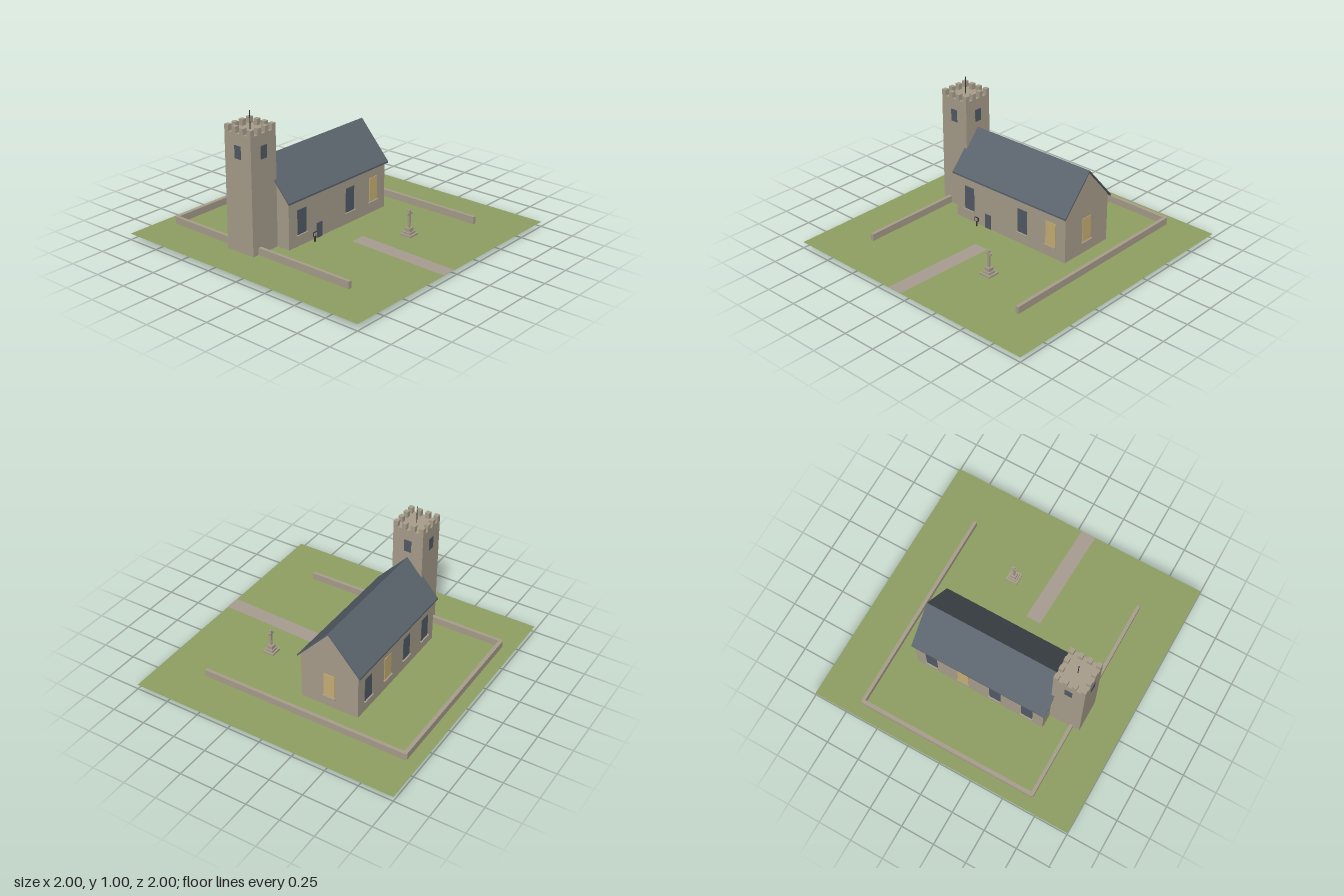
import * as THREE from 'three';

const mat = (name, color, side = THREE.FrontSide) => {
  const m = new THREE.MeshStandardMaterial({ color, side });
  m.name = name;
  return m;
};

export function createModel() {
  const stone = mat('stone', 0xa89e8c);
  const path = mat('path gravel', 0xa89d91, THREE.DoubleSide);
  const grass = mat('grass', 0x8fa063, THREE.DoubleSide);
  const slate = mat('roof slate', 0x5b646d);
  const glass = mat('dark glass', 0x525b66);
  const litGlass = mat('lit glass', 0xc9b074);
  const iron = mat('dark iron', 0x38352f);

  const model = new THREE.Group();
  model.name = 'churchAndChurchyard';
  const BASE = 0.04, CZ = -0.22, TX = -0.615;

  const group = (name, parent = model) => {
    const g = new THREE.Group();
    g.name = name;
    parent.add(g);
    return g;
  };
  const add = (name, geo, m, parent) => {
    const mesh = new THREE.Mesh(geo, m);
    mesh.name = name;
    parent.add(mesh);
    return mesh;
  };
  // Box given by centre x, bottom y, centre z
  const box = (name, w, h, d, x, y, z, m, parent) => {
    const b = add(name, new THREE.BoxGeometry(w, h, d), m, parent);
    b.position.set(x, y + h / 2, z);
    return b;
  };
  const outline = pts => new THREE.Shape(pts.map(p => new THREE.Vector2(...p)));
  // Cross-section in (-z, y), run along x
  const alongX = (pts, x0, x1) => new THREE.ExtrudeGeometry(outline(pts), { depth: x1 - x0, bevelEnabled: false })
    .rotateY(Math.PI / 2).translate(x0, 0, 0);
  // Gentle fall of the land towards +x
  const slope = (geo) => {
    const p = geo.attributes.position;
    for (let i = 0; i < p.count; i++) p.setY(i, p.getY(i) - 0.005 * p.getX(i));
    geo.computeVertexNormals();
    return geo;
  };

  // Ground and path
  add('ground', slope(new THREE.PlaneGeometry(2, 2, 4, 4).rotateX(-Math.PI / 2).translate(0, 0.041, 0)), grass, model);
  const pathShape = outline([[-0.115, -0.22], [-0.145, -1], [-0.033, -1], [-0.002, -0.22]]);
  add('path', slope(new THREE.ShapeGeometry(pathShape).rotateX(-Math.PI / 2).translate(0, 0.0435, 0)), path, model);

  // Churchyard wall: U-shaped with clipped back corners
  const wallPts = [
    [0.682, -0.665], [0.682, 0.895], [0.67, 0.908], [-0.67, 0.908], [-0.682, 0.895], [-0.682, -0.665],
    [-0.657, -0.665], [-0.657, 0.88], [0.657, 0.88], [0.657, -0.665],
  ];
  const wall = new THREE.ExtrudeGeometry(outline(wallPts), { depth: 0.088, bevelEnabled: false });
  add('churchyardWall', slope(wall.rotateX(-Math.PI / 2).translate(0, 0.0045, 0)), stone, model);

  // Nave with gable ends
  const nave = group('nave');
  add('naveWalls', alongX([[0, BASE], [0.44, BASE], [0.44, 0.396], [0.22, 0.644], [0, 0.396]], -0.5, 0.5), stone, nave);
  add('naveRoof', alongX([
    [-0.02, 0.387], [-0.02, 0.374], [0.22, 0.643], [0.46, 0.374], [0.46, 0.387], [0.22, 0.656],
  ], -0.52, 0.515), slate, nave);

  // Windows: a thin pane and a sill, set on a wall facing the given angle
  const addWindow = (x, z, angle, lit) => {
    const w = group('naveWindow', nave);
    box('pane', 0.086, 0.18, 0.006, 0, 0.125, 0.001, lit ? litGlass : glass, w);
    box('sill', 0.1, 0.008, 0.03, 0, 0.12, 0, stone, w);
    w.position.set(x, 0, z);
    w.rotation.y = angle;
  };
  for (const [x, lit] of [[-0.375, false], [0.12, false], [0.372, true]]) addWindow(x, 0, 0, lit);
  for (const x of [-0.375, -0.125, 0.125, 0.375]) addWindow(x, -0.44, Math.PI, x === 0.125);
  addWindow(0.5, CZ, Math.PI / 2, true);
  box('door', 0.055, 0.11, 0.008, -0.2, BASE, 0.001, glass, nave);

  // Tower, with a belfry opening on every side
  const tower = group('tower');
  tower.position.set(TX, 0, CZ);
  const TW = 0.232;
  box('towerWalls', TW, 0.832, TW, 0, BASE, 0, stone, tower);
  for (let i = 0; i < 4; i++) {
    const side = group('belfryOpening', tower);
    box('opening', 0.054, 0.09, 0.008, 0, 0.702, TW / 2, glass, side);
    side.rotation.y = i * Math.PI / 2;
  }
  // Battlements: a ring of blocks on a 4 by 4 grid
  const cell = TW / 7;
  for (let i = 0; i < 4; i++) for (let j = 0; j < 4; j++) {
    if (i % 3 && j % 3) continue;
    box('merlon', cell, 0.045, cell, (i * 2 - 3) * cell, 0.87, (j * 2 - 3) * cell, stone, tower);
  }
  const pole = add('flagpole', new THREE.CylinderGeometry(0.003, 0.003, 0.133, 6), iron, tower);
  pole.position.y = 0.936;

  // Stone cross on a stepped base
  const cross = group('stoneCross');
  cross.position.set(0.22, 0, 0.44);
  box('lowerStep', 0.088, 0.018, 0.088, 0, 0.036, 0, stone, cross);
  box('upperStep', 0.062, 0.016, 0.062, 0, 0.053, 0, stone, cross);
  box('plinth', 0.042, 0.028, 0.042, 0, 0.068, 0, stone, cross);
  box('shaft', 0.016, 0.128, 0.016, 0, 0.094, 0, stone, cross);
  box('arms', 0.046, 0.015, 0.0155, 0, 0.188, 0, stone, cross);

  // Notice board by the door
  const notice = group('noticeBoard');
  notice.position.set(-0.28, 0, 0.032);
  box('post', 0.008, 0.05, 0.008, 0, BASE, 0, iron, notice);
  box('board', 0.032, 0.03, 0.008, 0, 0.083, 0, iron, notice);
  box('notice', 0.025, 0.023, 0.002, 0, 0.0865, 0.0045, stone, notice);

  return model;
}
